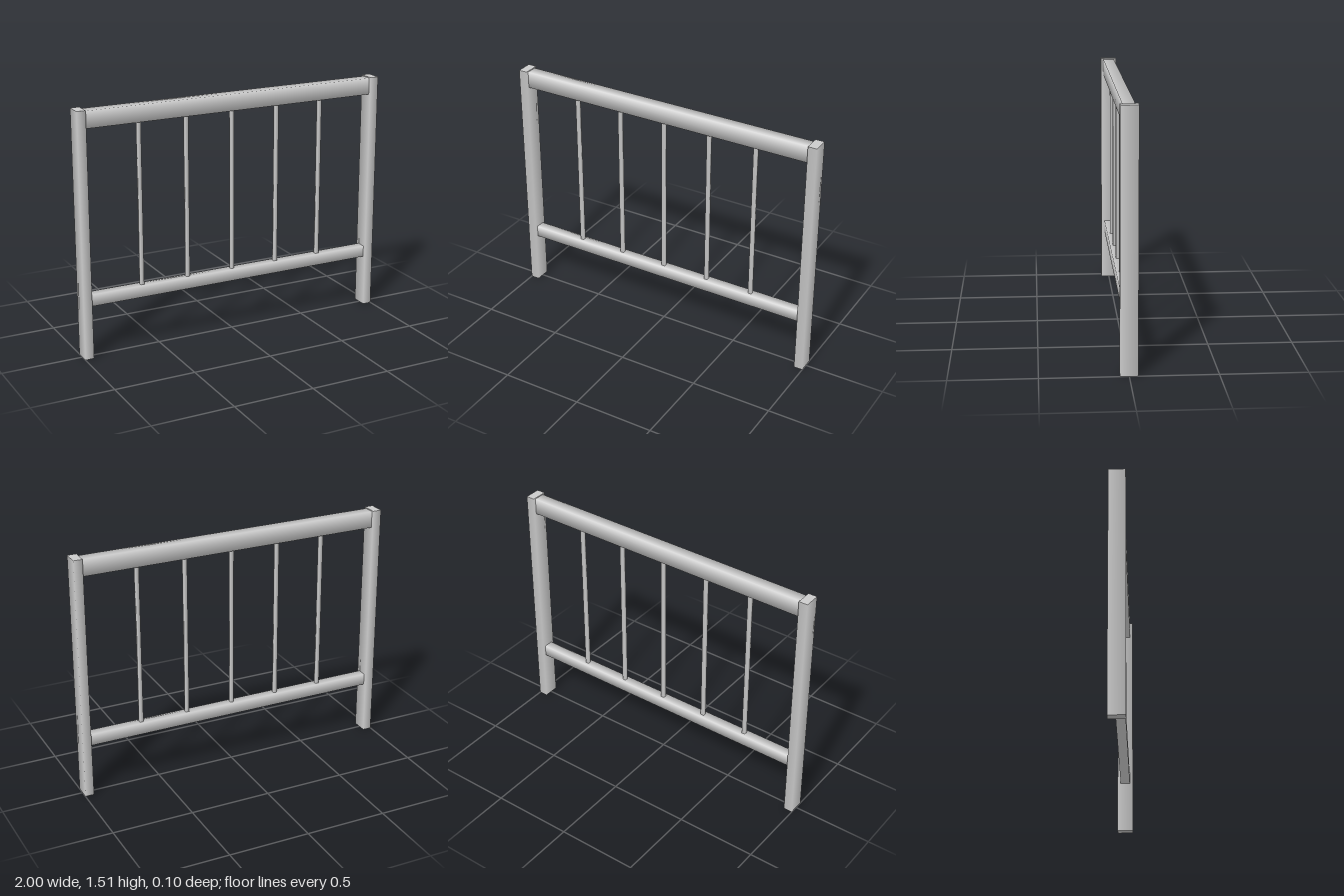
import * as THREE from 'three';

const material = new THREE.MeshStandardMaterial({ color: 0xcccccc });

// Four-sided bar along y with flat ends and softly shaded (shared-normal) sides.
// Only positions are stretched, so the corner normals stay at 45 degrees.
function barGeometry(width, length, depth) {
  const geo = new THREE.CylinderGeometry(Math.SQRT1_2, Math.SQRT1_2, 1, 4, 1, false, Math.PI / 4);
  const p = geo.attributes.position;
  for (let i = 0; i < p.count; i++) {
    p.setXYZ(i, p.getX(i) * width, p.getY(i) * length, p.getZ(i) * depth);
  }
  return geo;
}

export function createModel() {
  const group = new THREE.Group();
  const add = (name, geo, x, y) => {
    const mesh = new THREE.Mesh(geo, material);
    mesh.name = name;
    mesh.position.set(x, y, 0);
    group.add(mesh);
  };

  // End posts
  const post = barGeometry(0.055, 1.51, 0.1);
  add('leftPost', post, 0.9725, 0.755);
  add('rightPost', post, -0.9725, 0.755);

  // Horizontal rails between the posts
  const rail = (height, depth) => barGeometry(height, 1.89, depth).rotateZ(Math.PI / 2);
  add('topRail', rail(0.103, 0.07), 0, 1.4525);
  add('bottomRail', rail(0.072, 0.06), 0, 0.36);

  // Thin upright spindles
  const spindle = barGeometry(0.022, 1.01, 0.022);
  for (let i = -2; i <= 2; i++) add('spindle', spindle, i * 0.303, 0.899);

  return group;
}
